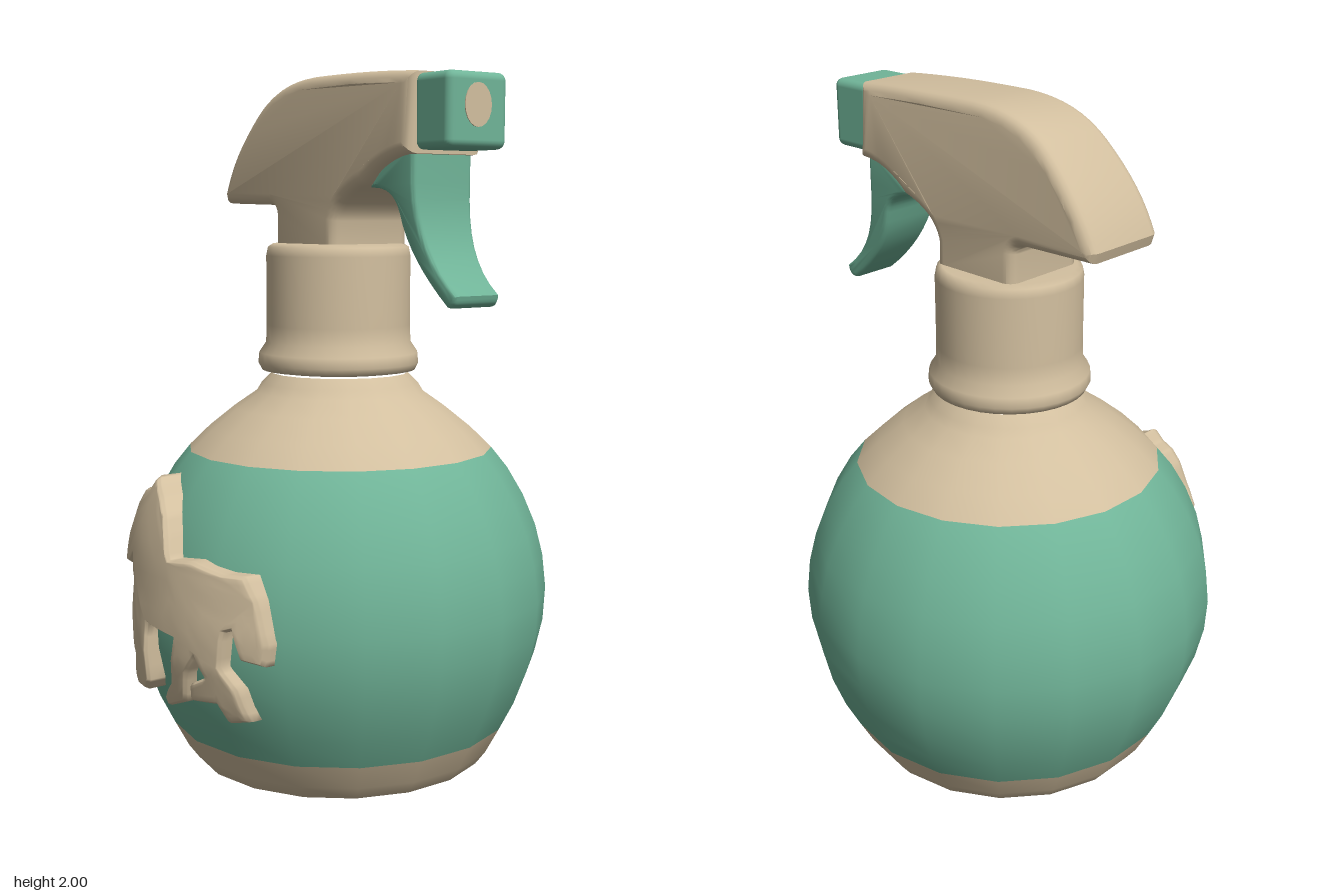
import * as THREE from 'three';
import { mergeVertices, toCreasedNormals } from 'three/addons/utils/BufferGeometryUtils.js';
import { RoundedBoxGeometry } from 'three/addons/geometries/RoundedBoxGeometry.js';

const sand = new THREE.MeshStandardMaterial({ color: 0xd2bf9f });
sand.name = 'sand';
const green = new THREE.MeshStandardMaterial({ color: 0x70b498 });
green.name = 'green';

const CZ = -0.015; // depth of the bottle axis
const SIDES = 18;
const v2 = (list) => list.map(([x, y]) => new THREE.Vector2(x, y));

const BODY = [
  [0, 0.005], [0.4, 0.005], [0.435, 0.02], [0.465, 0.06], [0.505, 0.135],
  [0.548, 0.22], [0.585, 0.32], [0.608, 0.42], [0.614, 0.52], [0.603, 0.62], [0.58, 0.71],
  [0.542, 0.8], [0.495, 0.88], [0.447, 0.94],
  [0.385, 1.0], [0.31, 1.06], [0.245, 1.105], [0.23, 1.13], [0.2, 1.16],
];
const BAND_START = 4, BAND_END = 13; // profile rows covered by the green band

function bodyRadius(y) {
  for (let i = 2; i < BODY.length; i++) {
    const [r0, y0] = BODY[i - 1], [r1, y1] = BODY[i];
    if (y <= y1) return r0 + (r1 - r0) * (y - y0) / (y1 - y0);
  }
  return 0.2;
}

function add(group, name, geometry, material) {
  const mesh = new THREE.Mesh(geometry, material);
  mesh.name = name;
  group.add(mesh);
  return mesh;
}

// Rounded slab cut from a side outline, centred in depth
function slab(shape, width, bevel, widthAt) {
  const depth = width - 2 * bevel;
  const geo = new THREE.ExtrudeGeometry(shape, {
    depth, bevelEnabled: true, bevelSize: bevel, bevelOffset: -bevel,
    bevelThickness: bevel, bevelSegments: 4, curveSegments: 8,
  });
  geo.translate(0, 0, -depth / 2);
  const p = geo.attributes.position;
  for (let i = 0; i < p.count; i++) p.setZ(i, p.getZ(i) * widthAt(p.getX(i), p.getY(i)) + CZ);
  return toCreasedNormals(geo, 0.6);
}

// Split every triangle into four
function subdivide(tris) {
  const out = [];
  for (const [a, b, c] of tris) {
    const ab = a.clone().lerp(b, 0.5), bc = b.clone().lerp(c, 0.5), ca = c.clone().lerp(a, 0.5);
    out.push([a, ab, ca], [ab, b, bc], [ca, bc, c], [ab, bc, ca]);
  }
  return out;
}

// Raised figure wrapped onto the front of the bottle
function horseGeometry() {
  const outline = v2([
    [-0.13, 0.885], [-0.1, 0.865], [-0.05, 0.84], [0, 0.8], [0.03, 0.75], [0.06, 0.69],
    [0.15, 0.7], [0.25, 0.68], [0.31, 0.68], [0.345, 0.62], [0.375, 0.51], [0.365, 0.45],
    [0.31, 0.46], [0.29, 0.54], [0.265, 0.53], [0.25, 0.43], [0.285, 0.37], [0.295, 0.28],
    [0.235, 0.265], [0.22, 0.32], [0.13, 0.31], [0.14, 0.36], [0.2, 0.39], [0.175, 0.45],
    [0.13, 0.39], [0.1, 0.3], [0, 0.26], [0, 0.29], [0.06, 0.35], [0.1, 0.485],
    [0.04, 0.49], [-0.035, 0.5], [-0.04, 0.33], [-0.07, 0.295], [-0.13, 0.295], [-0.13, 0.34],
    [-0.11, 0.39], [-0.135, 0.48], [-0.14, 0.6], [-0.17, 0.665], [-0.21, 0.63], [-0.265, 0.62],
    [-0.29, 0.66], [-0.25, 0.72], [-0.23, 0.79], [-0.2, 0.84], [-0.155, 0.85],
  ]);
  const geo = new THREE.ExtrudeGeometry(new THREE.Shape(outline), {
    depth: 0.04, bevelEnabled: true, bevelSize: 0.008, bevelOffset: -0.006,
    bevelThickness: 0.012, bevelSegments: 1,
  });
  const p = geo.attributes.position;
  let tris = [];
  for (let i = 0; i < p.count; i += 3) {
    tris.push([0, 1, 2].map((k) => new THREE.Vector3().fromBufferAttribute(p, i + k)));
  }
  tris = subdivide(subdivide(tris));
  const points = tris.flat().map((v) => {
    const r = bodyRadius(v.y);
    const lift = Math.max(0, v.y - 0.6) * 0.13 + (v.x < -0.02 && v.y < 0.5 ? (0.5 - v.y) * 0.12 : 0);
    const relief = v.z > 0.02 ? v.z - 0.02 + lift : v.z - 0.03;
    return new THREE.Vector3(v.x, v.y, Math.sqrt(r * r - v.x * v.x) + CZ + relief);
  });
  const wrapped = mergeVertices(new THREE.BufferGeometry().setFromPoints(points), 1e-4);
  wrapped.computeVertexNormals();
  return wrapped;
}

export function createModel() {
  const model = new THREE.Group();
  model.name = 'sprayBottle';

  // Round bottle with a green band between sand base and shoulder
  const bodyGeo = new THREE.LatheGeometry(v2(BODY), SIDES);
  const rows = BODY.length - 1;
  for (let i = 0; i < SIDES; i++) {
    const at = i * rows;
    bodyGeo.addGroup(at * 6, BAND_START * 6, 0);
    bodyGeo.addGroup((at + BAND_START) * 6, (BAND_END - BAND_START) * 6, 1);
    bodyGeo.addGroup((at + BAND_END) * 6, (rows - BAND_END) * 6, 0);
  }
  add(model, 'bottle', bodyGeo, [sand, green]).position.z = CZ;

  // Screw collar with a bead at its foot
  const collar = new THREE.LatheGeometry(v2([
    [0.19, 1.165], [0.225, 1.17], [0.235, 1.19], [0.232, 1.22], [0.212, 1.25], [0.21, 1.3],
    [0.21, 1.5], [0.205, 1.525], [0.19, 1.535], [0, 1.535],
  ]), 32);
  add(model, 'collar', collar, sand).position.z = CZ + 0.005;

  // Spray head with its stem
  const head = new THREE.Shape();
  head.moveTo(-0.14, 1.5);
  head.lineTo(0.15, 1.5);
  head.lineTo(0.15, 1.6);
  head.quadraticCurveTo(0.17, 1.67, 0.28, 1.7);
  head.quadraticCurveTo(0.36, 1.77, 0.47, 1.775);
  head.lineTo(0.47, 1.985);
  head.quadraticCurveTo(0.3, 2.0, 0.02, 2.0);
  head.quadraticCurveTo(-0.16, 1.995, -0.25, 1.91);
  head.quadraticCurveTo(-0.37, 1.8, -0.42, 1.68);
  head.lineTo(-0.41, 1.65);
  head.lineTo(-0.17, 1.645);
  head.quadraticCurveTo(-0.14, 1.64, -0.14, 1.61);
  head.closePath();
  add(model, 'sprayHead', slab(head, 0.275, 0.032, (x, y) =>
    1 - 0.1 * THREE.MathUtils.smoothstep(y, 1.75, 2) - 0.06 * THREE.MathUtils.smoothstep(x, 0.2, 0.46)), sand);

  // Nozzle block and its outlet spot
  const nozzle = add(model, 'nozzle', new RoundedBoxGeometry(0.145, 0.195, 0.2, 3, 0.022), green);
  nozzle.position.set(0.527, 1.882, CZ);
  const outlet = add(model, 'outlet', new THREE.CylinderGeometry(0.045, 0.045, 0.006, 20), sand);
  outlet.rotation.z = -Math.PI / 2;
  outlet.scale.x = 1.25;
  outlet.position.set(0.599, 1.895, CZ + 0.005);

  // Curved trigger, narrowing toward the tip
  const trigger = new THREE.Shape();
  trigger.moveTo(0.27, 1.69);
  trigger.quadraticCurveTo(0.37, 1.69, 0.39, 1.62);
  trigger.quadraticCurveTo(0.42, 1.49, 0.565, 1.38);
  trigger.quadraticCurveTo(0.6, 1.37, 0.605, 1.41);
  trigger.quadraticCurveTo(0.46, 1.51, 0.46, 1.7);
  trigger.lineTo(0.46, 1.8);
  trigger.lineTo(0.38, 1.8);
  trigger.closePath();
  add(model, 'trigger', slab(trigger, 0.205, 0.015, (x, y) =>
    1 - 0.25 * THREE.MathUtils.smoothstep(1.72 - y, 0, 0.34)), green);

  add(model, 'horseRelief', horseGeometry(), sand);
  return model;
}
